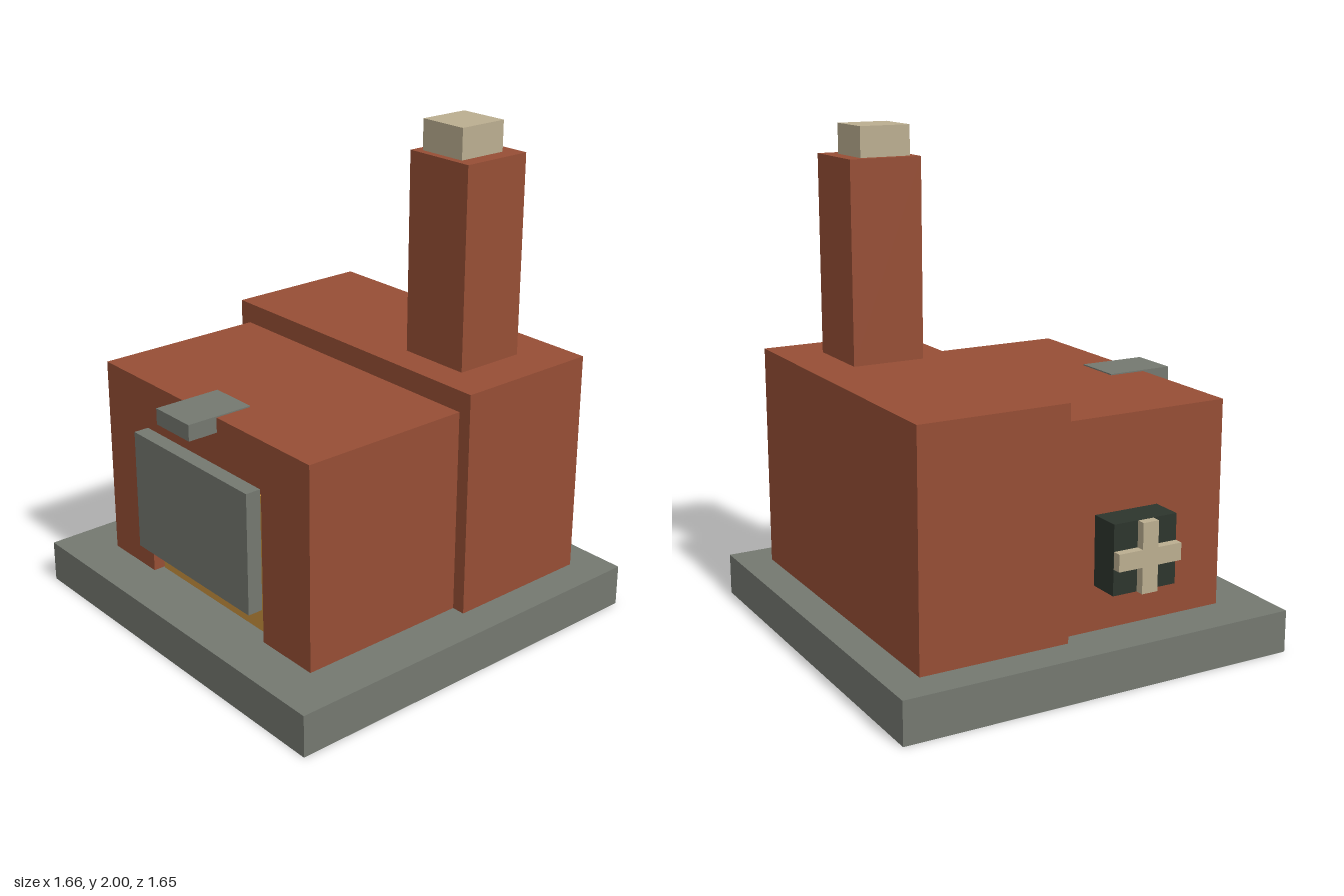
import * as THREE from 'three';

const mat = (name, color) => {
  const m = new THREE.MeshStandardMaterial({ color });
  m.name = name;
  return m;
};

export function createModel() {
  const brick = mat('brick', 0x964e35);
  const stone = mat('stone', 0x747870);
  const cream = mat('cream', 0xbbae90);
  const dark = mat('dark iron', 0x2d352d);
  const amber = mat('amber', 0xc9923f);

  const model = new THREE.Group();
  model.name = 'furnace';

  // Box given by its limits on each axis
  const box = (name, material, [x0, x1], [y0, y1], [z0, z1], parent = model) => {
    const mesh = new THREE.Mesh(new THREE.BoxGeometry(x1 - x0, y1 - y0, z1 - z0), material);
    mesh.position.set((x0 + x1) / 2, (y0 + y1) / 2, (z0 + z1) / 2);
    mesh.name = name;
    parent.add(mesh);
    return mesh;
  };

  // Foundation and rear body
  box('baseSlab', stone, [-0.83, 0.83], [0, 0.17], [-0.825, 0.825]);
  box('rearBody', brick, [-0.69, 0.69], [0.17, 1.08], [-0.69, -0.08]);

  // Front body with the fire opening cut up from its bottom edge
  const outline = new THREE.Shape([
    [-0.635, 0.17], [-0.36, 0.17], [-0.36, 0.78], [0.36, 0.78],
    [0.36, 0.17], [0.635, 0.17], [0.635, 0.995], [-0.635, 0.995],
  ].map(([x, y]) => new THREE.Vector2(x, y)));
  const frontBody = new THREE.Mesh(
    new THREE.ExtrudeGeometry(outline, { depth: 0.715, bevelEnabled: false }), brick);
  frontBody.position.z = -0.08;
  frontBody.name = 'frontBody';
  model.add(frontBody);

  // Glowing fire behind the raised door
  box('fire', amber, [-0.33, 0.33], [0.185, 0.75], [-0.08, 0.605]);
  box('door', stone, [-0.36, 0.355], [0.305, 0.8], [0.635, 0.698]);
  box('doorHood', stone, [-0.105, 0.1], [0.935, 1.0], [0.48, 0.76]);

  // Chimney
  box('chimney', brick, [0.205, 0.51], [1.08, 1.88], [-0.51, -0.21]);
  box('chimneyCap', cream, [0.24, 0.447], [1.88, 2.0], [-0.45, -0.24]);

  // Valve on the right side, with a cross handle
  const valve = new THREE.Group();
  valve.name = 'valve';
  model.add(valve);
  box('valveBody', dark, [-0.762, -0.635], [0.35, 0.625], [0.065, 0.34], valve);
  const cross = new THREE.Shape();
  const a = 0.137, b = 0.034;
  [[-b, -a], [b, -a], [b, -b], [a, -b], [a, b], [b, b],
    [b, a], [-b, a], [-b, b], [-a, b], [-a, -b], [-b, -b]]
    .forEach(([x, y], i) => (i ? cross.lineTo(x, y) : cross.moveTo(x, y)));
  const handle = new THREE.Mesh(
    new THREE.ExtrudeGeometry(cross, { depth: 0.035, bevelEnabled: false }), cream);
  handle.rotation.y = -Math.PI / 2;
  handle.position.set(-0.762, 0.487, 0.203);
  handle.name = 'valveHandle';
  valve.add(handle);

  return model;
}
